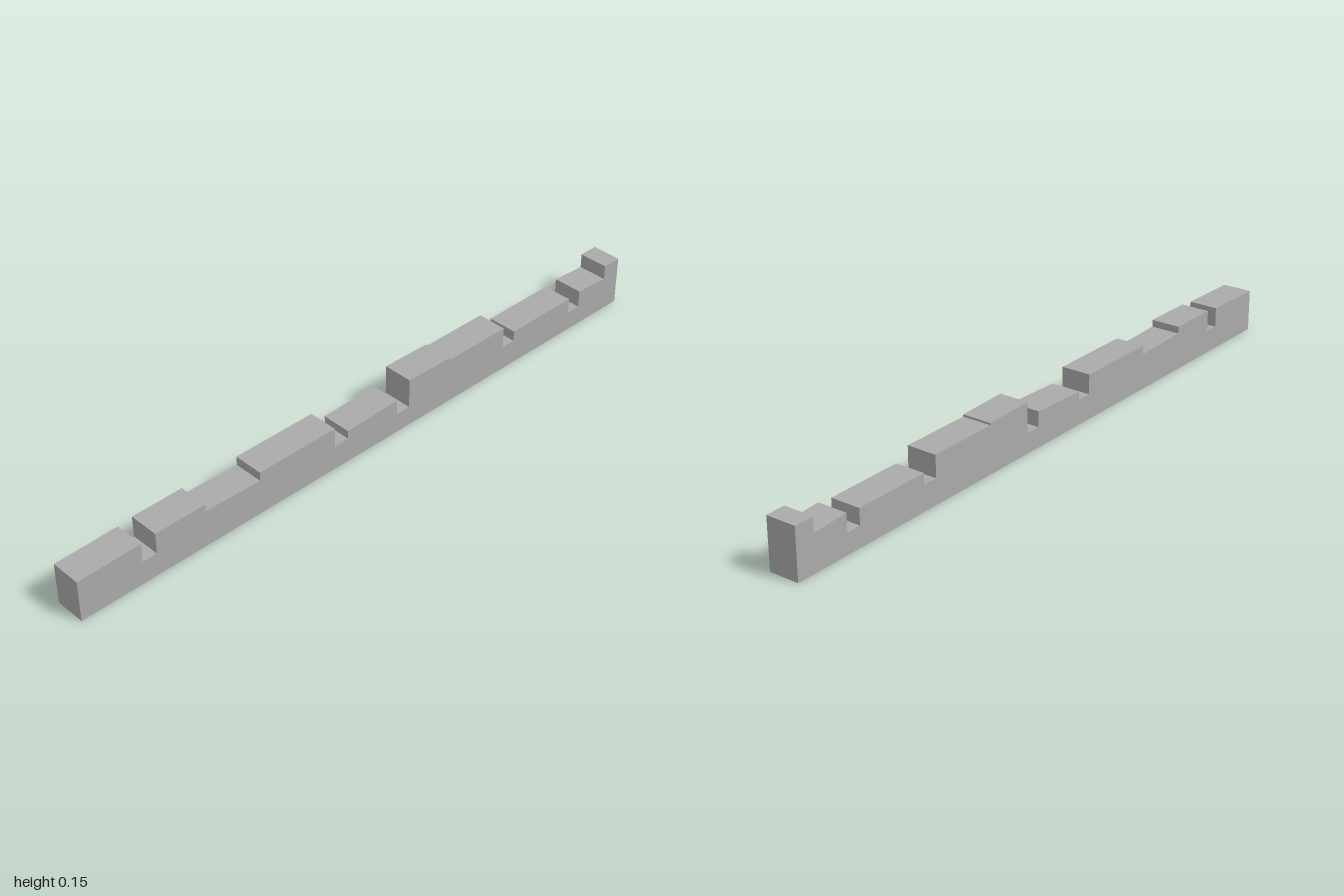
import * as THREE from 'three';

export function createModel() {
  const group = new THREE.Group();
  group.name = 'notchedWall';
  const stone = new THREE.MeshStandardMaterial({ color: 0xaaaaaa });
  stone.name = 'grey stone';

  // Uneven top edge: [start x, end x, height at start, height at end]
  const steps = [
    [-1, -0.805, 0.126, 0.129],
    [-0.805, -0.76, 0.07, 0.07],
    [-0.76, -0.6, 0.134, 0.134],
    [-0.6, -0.418, 0.113, 0.107],
    [-0.418, -0.155, 0.134, 0.134],
    [-0.155, -0.107, 0.075, 0.075],
    [-0.107, 0.076, 0.1, 0.106],
    [0.076, 0.123, 0.06, 0.06],
    [0.123, 0.28, 0.15, 0.146],
    [0.28, 0.5, 0.14, 0.14],
    [0.5, 0.545, 0.075, 0.075],
    [0.545, 0.783, 0.107, 0.107],
    [0.783, 0.828, 0.06, 0.06],
    [0.828, 0.94, 0.113, 0.106],
    [0.94, 1, 0.15, 0.15],
  ];

  // Wall outline pulled through its thickness
  const outline = new THREE.Shape();
  outline.moveTo(1, 0);
  for (const [x0, x1, h0, h1] of steps.reverse()) {
    outline.lineTo(x1, h1);
    outline.lineTo(x0, h0);
  }
  outline.lineTo(-1, 0);
  outline.closePath();

  const depth = 0.091;
  const geometry = new THREE.ExtrudeGeometry(outline, { depth, bevelEnabled: false });
  geometry.translate(0, 0, -depth / 2);
  const wall = new THREE.Mesh(geometry, stone);
  wall.name = 'wall';
  group.add(wall);
  return group;
}
